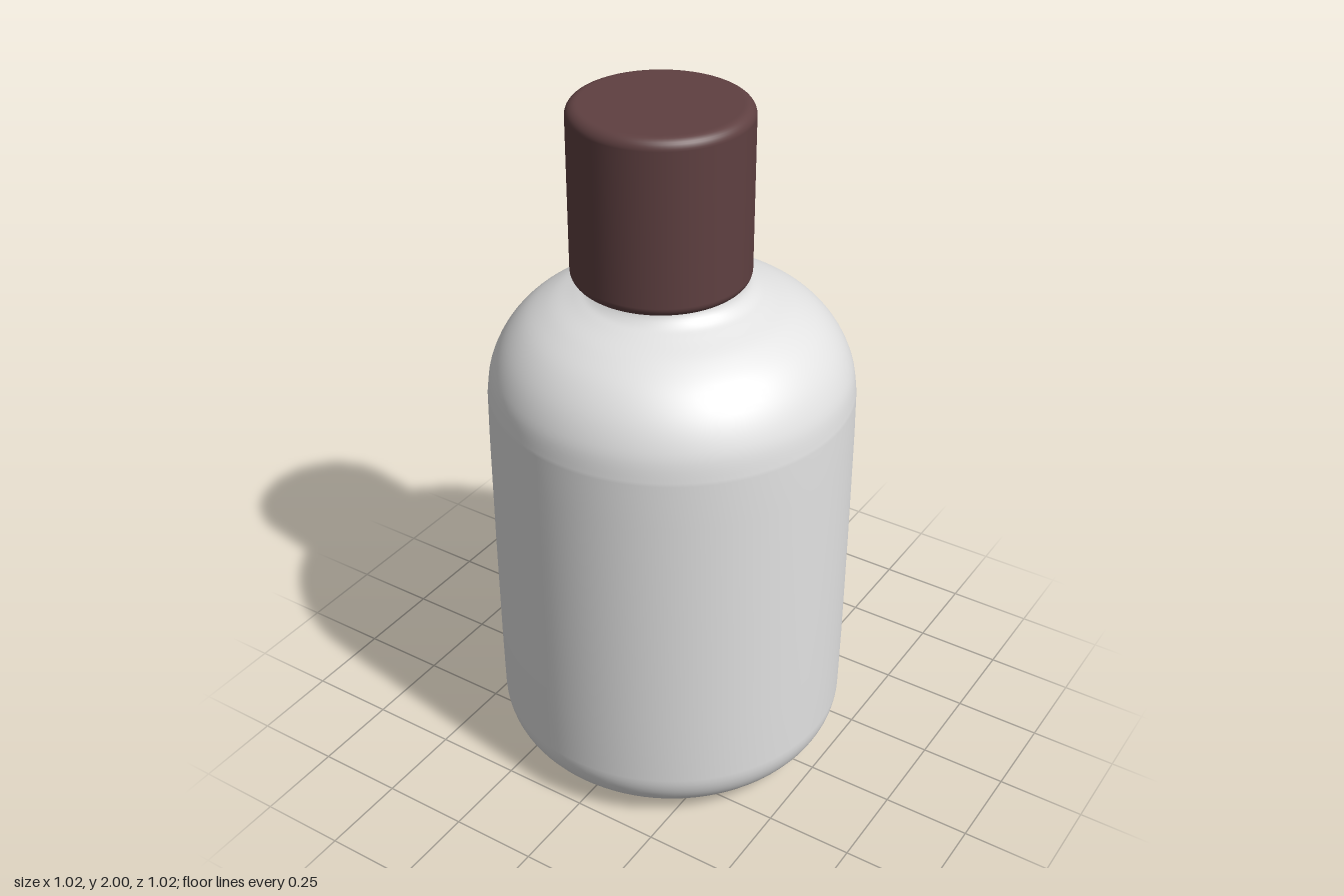
import * as THREE from 'three';

const v = (x, y) => new THREE.Vector2(x, y);

// Quarter-ellipse from angle a to b (degrees), sampled as profile points
function arc(cx, cy, rx, ry, a, b, n) {
  return Array.from({ length: n + 1 }, (_, i) => {
    const t = THREE.MathUtils.degToRad(a + (b - a) * i / n);
    return v(cx + rx * Math.cos(t), cy + ry * Math.sin(t));
  });
}

function lathe(name, points, material) {
  const mesh = new THREE.Mesh(new THREE.LatheGeometry(points, 96), material);
  mesh.name = name;
  return mesh;
}

export function createModel() {
  const white = new THREE.MeshStandardMaterial({ color: 0xe2e2e2 });
  white.name = 'offWhite';
  const brown = new THREE.MeshStandardMaterial({ color: 0x5f4041 });
  brown.name = 'darkBrown';

  const bottle = new THREE.Group();
  bottle.name = 'bottle';

  // Body: flat base, rounded foot, straight wall, domed shoulder, flared neck
  const shoulder = new THREE.SplineCurve([
    v(0.507, 1.18), v(0.495, 1.255), v(0.46, 1.33), v(0.405, 1.393),
    v(0.335, 1.438), v(0.265, 1.466), v(0.228, 1.482), v(0.205, 1.51), v(0.2, 1.56),
  ]);
  bottle.add(lathe('body', [
    v(0, 0), v(0.17, 0.003), v(0.33, 0.008),
    ...arc(0.345, 0.17, 0.162, 0.16, -90, 0, 14),
    v(0.509, 0.35), v(0.51, 0.7), v(0.509, 1.05),
    ...shoulder.getPoints(40),
  ], white));

  // Cap: closed cylinder with rounded rims, seated slightly off centre
  const r = 0.244, e = 0.03;
  const cap = lathe('cap', [
    v(0, 1.51), v(r - e - 0.005, 1.51),
    ...arc(r - e, 1.51 + e, e, e, -90, 0, 8),
    ...arc(r - e, 2 - e, e, e, 0, 90, 8),
    v(r - e - 0.005, 2), v(0, 2),
  ], brown);
  cap.position.set(-0.03, 0, 0.006);
  bottle.add(cap);

  return bottle;
}
